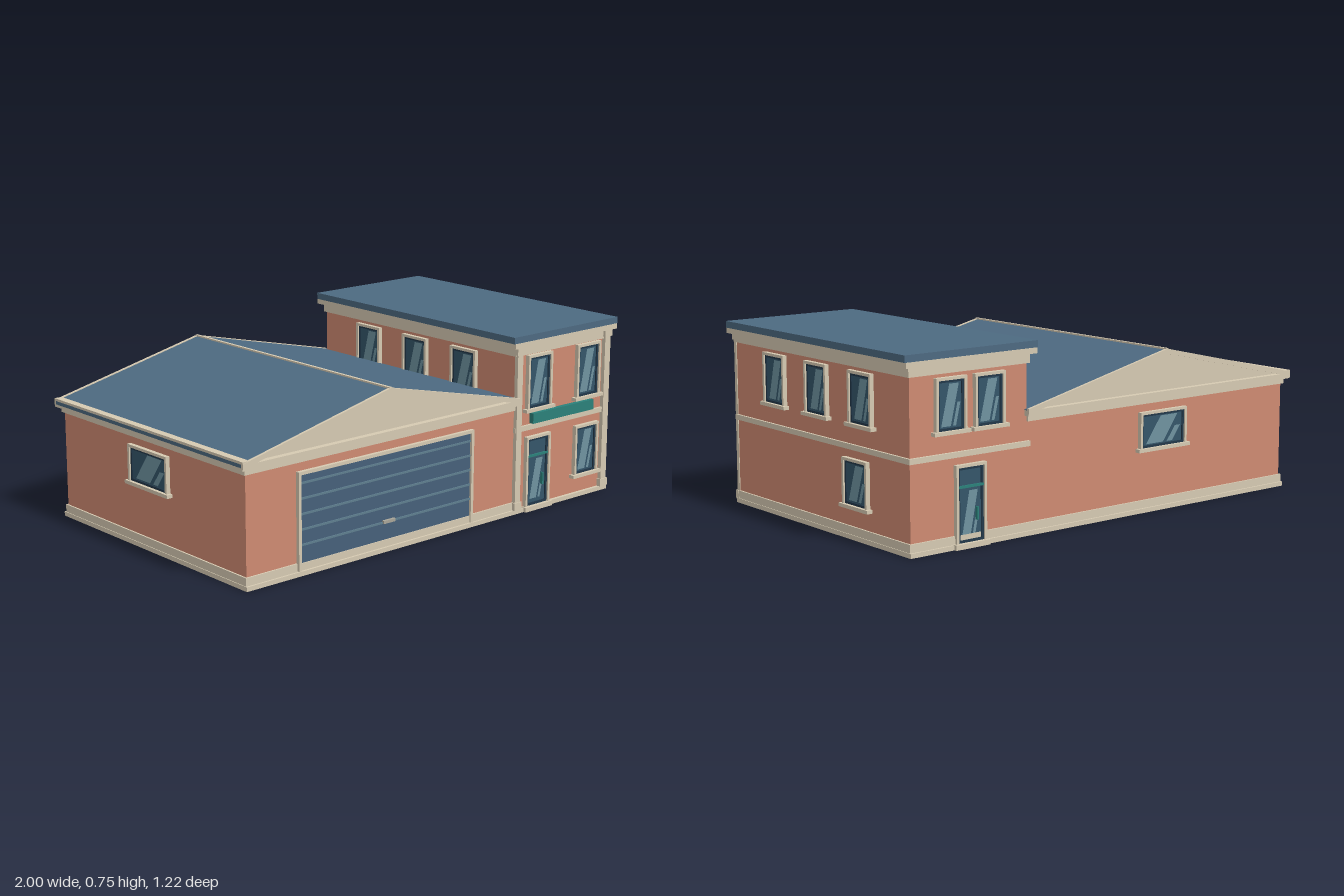
import * as THREE from 'three';

const mat = (color) => new THREE.MeshStandardMaterial({ color });
const M = {
  brick: mat(0xcf8a72), trim: mat(0xd6cab2), roof: mat(0x4d6a81), door: mat(0x46607a),
  rib: mat(0x5f7f8f), dark: mat(0x22384a), glass: mat(0x35566a), shine: mat(0x6f93a0),
  teal: mat(0x2b817a), metal: mat(0xa9a699),
};

function add(parent, name, geometry, material) {
  const mesh = new THREE.Mesh(geometry, material);
  mesh.name = name;
  parent.add(mesh);
  return mesh;
}

// Box given by its minimum and maximum along each axis
function box(parent, name, material, x0, x1, y0, y1, z0, z1) {
  const mesh = add(parent, name, new THREE.BoxGeometry(x1 - x0, y1 - y0, z1 - z0), material);
  mesh.position.set((x0 + x1) / 2, (y0 + y1) / 2, (z0 + z1) / 2);
  return mesh;
}

const polygon = (pts) => new THREE.Shape(pts.map(([x, y]) => new THREE.Vector2(x, y)));

// Profile in x and y, extruded from z0 to z1
function prism(parent, name, material, shape, z0, z1) {
  const geometry = new THREE.ExtrudeGeometry(shape, { depth: z1 - z0, bevelEnabled: false });
  geometry.translate(0, 0, z0);
  return add(parent, name, geometry, material);
}

// Rectangular surround with an opening, bottom centre at the origin
function surround(parent, name, material, w, h, t, bottom, z1) {
  const a = w / 2;
  const shape = polygon([[-a - t, -bottom], [a + t, -bottom], [a + t, h + t], [-a - t, h + t]]);
  if (bottom > 0) {
    shape.holes.push(polygon([[-a, 0], [-a, h], [a, h], [a, 0]]));
    return prism(parent, name, material, shape, 0, z1);
  }
  const arch = polygon([[-a - t, 0], [-a, 0], [-a, h], [a, h], [a, 0], [a + t, 0], [a + t, h + t], [-a - t, h + t]]);
  return prism(parent, name, material, arch, 0, z1);
}

// Two slanted reflections on a pane of w by h
function reflections(parent, w, h, y, z) {
  for (const [x0, x1, y0, y1] of [[-0.42, 0.02, 0.03, 0.97], [0.12, 0.26, 0.03, 0.55]]) {
    const lean = 0.4 * (y1 - y0);
    const shape = polygon([
      [x0 * w, y + y0 * h], [x1 * w, y + y0 * h],
      [(x1 + lean) * w, y + y1 * h], [(x0 + lean) * w, y + y1 * h],
    ]);
    add(parent, 'reflection', new THREE.ShapeGeometry(shape), M.shine).position.z = z;
  }
}

// Window with surround, dark sash, glass and sill
function windowUnit(parent, w, h, x, y, z, turn) {
  const g = new THREE.Group();
  g.name = 'window';
  surround(g, 'windowFrame', M.trim, w, h, 0.011, 0.011, 0.018);
  surround(g, 'windowSash', M.dark, w - 0.018, h - 0.018, 0.009, 0.009, 0.011).position.y = 0.009;
  box(g, 'windowGlass', M.glass, -w / 2, w / 2, 0, h, -0.005, 0.006);
  reflections(g, w - 0.02, h - 0.02, 0.01, 0.0065);
  box(g, 'windowSill', M.trim, -w / 2 - 0.024, w / 2 + 0.024, -0.014, 0, 0, 0.025);
  g.position.set(x, y, z);
  g.rotation.y = turn;
  parent.add(g);
}

// Glazed entrance door with transom, handle and step
function entrance(parent, x, z, turn) {
  const g = new THREE.Group();
  g.name = 'entrance';
  const w = 0.12, h = 0.285;
  surround(g, 'doorFrame', M.trim, w, h, 0.011, 0, 0.018);
  surround(g, 'doorSash', M.dark, w - 0.02, h - 0.02, 0.01, 0.01, 0.011).position.y = 0.01;
  box(g, 'doorGlass', M.glass, -w / 2, w / 2, 0, h, -0.005, 0.006);
  reflections(g, w - 0.03, 0.18, 0.02, 0.0065);
  box(g, 'doorTransom', M.teal, -w / 2, w / 2, 0.206, 0.216, 0, 0.012);
  box(g, 'doorHandle', M.teal, 0.025, 0.032, 0.08, 0.13, 0.006, 0.018);
  box(g, 'doorStep', M.trim, -0.08, 0.08, -0.02, 0, 0, 0.027);
  g.position.set(x, 0.02, z);
  g.rotation.y = turn;
  parent.add(g);
}

function buildGarage(root) {
  const g = new THREE.Group();
  g.name = 'garage';
  root.add(g);
  const ridge = -0.285, left = -1, right = 0.43, W = 0.585;

  box(g, 'garageWalls', M.brick, -0.97, 0.42, 0.01, 0.46, -W, W);
  box(g, 'garagePlinth', M.trim, -0.98, 0.42, 0, 0.018, -0.6, 0.6);
  box(g, 'garageFrieze', M.trim, -0.98, 0.42, 0.44, 0.462, -0.594, 0.594);
  box(g, 'garageCornice', M.trim, left, 0.42, 0.462, 0.484, -0.61, 0.61);
  for (const s of [-1, 1]) {
    box(g, 'corniceReturn', M.trim, 0.41, right, 0.462, 0.484, s * 0.598 - 0.012, s * 0.598 + 0.012);
  }

  // Gable roof: pediment body, roof sheet, raking trim and ridge cap
  prism(g, 'pediment', M.trim, polygon([[-0.98, 0.48], [0.42, 0.48], [ridge, 0.635]]), -W, W);
  const chevron = (lift, t) => polygon([
    [left, 0.487 + lift - t], [ridge, 0.65 + lift - t], [right, 0.487 + lift - t],
    [right, 0.487 + lift], [ridge, 0.65 + lift], [left, 0.487 + lift],
  ]);
  prism(g, 'garageRoof', M.roof, chevron(0, 0.014), -0.602, 0.602);
  for (const z of [-0.612, 0.6]) prism(g, 'rakeTrim', M.trim, chevron(0.003, 0.02), z, z + 0.012);
  box(g, 'ridgeCap', M.trim, ridge - 0.006, ridge + 0.006, 0.643, 0.655, -0.61, 0.61);
  box(g, 'eaveTrim', M.trim, left, -0.968, 0.48, 0.497, -0.61, 0.61);

  // Base strips, leaving the vehicle door clear
  box(g, 'baseStrip', M.trim, -0.977, -0.735, 0.018, 0.05, W, 0.592);
  box(g, 'baseStrip', M.trim, 0.175, 0.42, 0.018, 0.05, W, 0.592);
  box(g, 'baseStrip', M.trim, -0.977, 0.42, 0.018, 0.05, -0.592, -W);
  box(g, 'baseStrip', M.trim, -0.977, -0.97, 0.018, 0.05, -W, W);

  // Vehicle door
  const d = new THREE.Group();
  d.name = 'vehicleDoor';
  d.position.set(-0.28, 0.02, W);
  g.add(d);
  surround(d, 'vehicleDoorFrame', M.trim, 0.88, 0.372, 0.013, 0, 0.016);
  box(d, 'vehicleDoorPanel', M.door, -0.44, 0.44, 0.025, 0.372, -0.004, 0.006);
  box(d, 'vehicleDoorSill', M.trim, -0.44, 0.44, 0, 0.028, 0, 0.01);
  for (let i = 0; i < 5; i++) {
    const y = 0.095 + i * 0.06;
    box(d, 'vehicleDoorRib', M.rib, -0.44, 0.44, y, y + 0.008, 0, 0.01);
  }
  box(d, 'vehicleDoorHandle', M.metal, -0.03, 0.03, 0.096, 0.108, 0, 0.018);

  windowUnit(g, 0.23, 0.135, -0.28, 0.262, -W, Math.PI);
  windowUnit(g, 0.23, 0.135, -0.97, 0.262, 0, -Math.PI / 2);
}

function buildTower(root) {
  const g = new THREE.Group();
  g.name = 'office';
  root.add(g);
  const x0 = 0.42, x1 = 0.965, W = 0.585;

  box(g, 'officeWalls', M.brick, x0, x1, 0.01, 0.7, -W, W);
  box(g, 'officePlinth', M.trim, x0, 0.975, 0, 0.018, -0.6, 0.6);
  box(g, 'baseStrip', M.trim, x0, 0.972, 0.018, 0.05, -0.592, -W);
  box(g, 'baseStrip', M.trim, x1, 0.972, 0.018, 0.05, -W, W);
  box(g, 'floorBand', M.trim, 0.41, 0.974, 0.345, 0.366, -0.596, 0.596);
  box(g, 'officeFrieze', M.trim, 0.41, 0.974, 0.662, 0.698, -0.594, 0.594);
  box(g, 'officeCornice', M.trim, 0.388, 0.996, 0.698, 0.72, -0.61, 0.61);
  box(g, 'officeRoof', M.roof, 0.384, 1, 0.72, 0.747, -0.608, 0.608);

  // Front corner pilasters with feet and caps
  for (const [a, b] of [[0.412, 0.442], [0.935, 0.968]]) {
    box(g, 'pilaster', M.trim, a, b, 0.018, 0.698, W, 0.602);
    box(g, 'pilasterFoot', M.trim, a - 0.005, b + 0.006, 0.018, 0.05, W, 0.606);
    box(g, 'pilasterCap', M.trim, a - 0.005, b + 0.006, 0.67, 0.698, W, 0.606);
  }

  // Front
  for (const x of [0.547, 0.84]) windowUnit(g, 0.12, 0.212, x, 0.435, W, 0);
  windowUnit(g, 0.12, 0.2, 0.84, 0.1, W, 0);
  entrance(g, 0.547, W, 0);
  box(g, 'signBoard', M.teal, 0.505, 0.87, 0.37, 0.413, W, 0.606);

  // Sides
  for (const z of [0.293, 0, -0.293]) {
    windowUnit(g, 0.126, 0.187, x1, 0.45, z, Math.PI / 2);
    windowUnit(g, 0.126, 0.187, x0, 0.45, z, -Math.PI / 2);
  }
  windowUnit(g, 0.138, 0.167, x1, 0.135, -0.255, Math.PI / 2);

  // Back
  for (const x of [0.605, 0.785]) windowUnit(g, 0.12, 0.187, x, 0.45, -W, Math.PI);
  entrance(g, 0.695, -W, Math.PI);
}

export function createModel() {
  const root = new THREE.Group();
  root.name = 'garageBuilding';
  buildGarage(root);
  buildTower(root);
  return root;
}
